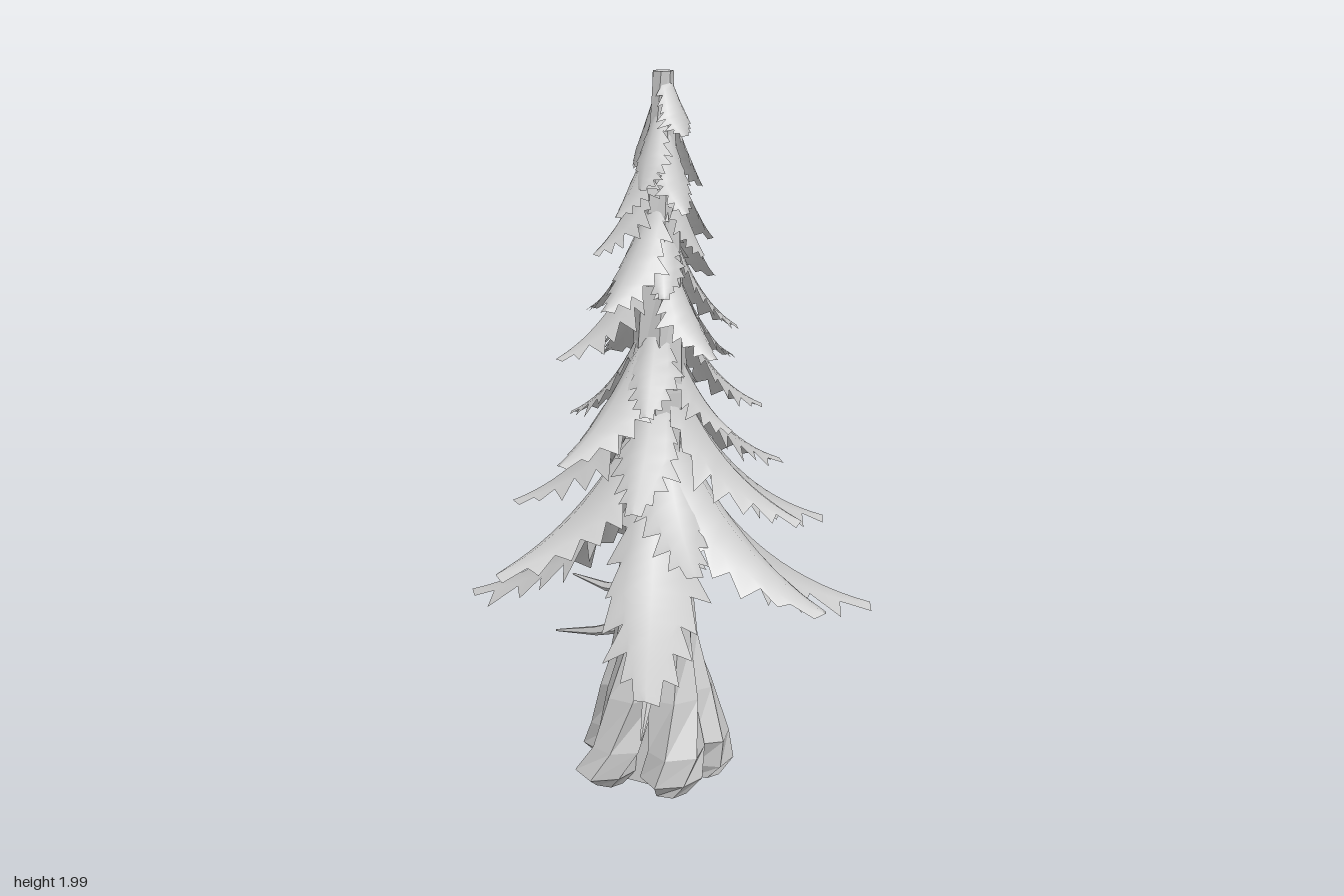
import * as THREE from 'three';

const grey = new THREE.MeshStandardMaterial({ color: 0xcccccc, side: THREE.DoubleSide });
grey.name = 'pale grey';

let seed = 7;
const rand = () => (seed = (seed * 16807) % 2147483647) / 2147483647;
const jitter = (a) => 1 + (rand() - 0.5) * 2 * a;

// Leaning axis of the trunk
const axis = (y) => new THREE.Vector3(0.018 + 0.027 * y, y, 0.038 + 0.006 * y);

function meshFrom(name, pos, index, flat) {
  let g = new THREE.BufferGeometry();
  g.setAttribute('position', new THREE.Float32BufferAttribute(pos, 3));
  g.setIndex(index);
  if (flat) g = g.toNonIndexed();
  g.computeVertexNormals();
  const m = new THREE.Mesh(g, grey);
  m.name = name;
  return m;
}

// Faceted, capped loft through rings [centre, radius], each ring square to dir
function loft(name, rings, sides, rough, dir = new THREE.Vector3(0, 1, 0), twist = 0) {
  const pos = [], index = [];
  const q = new THREE.Quaternion().setFromUnitVectors(new THREE.Vector3(0, 1, 0), dir);
  rings.forEach(([c, r], i) => {
    for (let k = 0; k < sides; k++) {
      const a = (k / sides) * Math.PI * 2 + i * twist, rr = r * jitter(rough);
      const v = new THREE.Vector3(Math.sin(a) * rr, 0, Math.cos(a) * rr).applyQuaternion(q).add(c);
      pos.push(v.x, v.y, v.z);
    }
  });
  for (let i = 0; i < rings.length - 1; i++) {
    for (let k = 0; k < sides; k++) {
      const a = i * sides + k, b = i * sides + ((k + 1) % sides);
      index.push(a, b, b + sides, a, b + sides, a + sides);
    }
  }
  const first = pos.length / 3, last = rings.length - 1;
  for (const i of [0, last]) pos.push(...rings[i][0].toArray());
  for (let k = 0; k < sides; k++) {
    const n = (k + 1) % sides;
    index.push(first, n, k, first + 1, last * sides + k, last * sides + n);
  }
  return meshFrom(name, pos, index, true);
}

// Drooping branch of needles: arched strip along a curve, with saw-toothed edges
function frond(x, y, z) {
  const ax = axis(y), dx = x - ax.x, dz = z - ax.z, R = Math.hypot(dx, dz);
  const out = new THREE.Vector3(dx / R, 0, dz / R);
  const side = new THREE.Vector3(out.z, 0, -out.x);
  const rise = Math.min(0.12 + 0.68 * R, 1.97 - y), width = 0.035 + 0.19 * R;
  const at = (r, h) => axis(h).setY(h).addScaledVector(out, r);
  const curve = new THREE.QuadraticBezierCurve3(
    at(0.025 + 0.05 * R, y + rise), at(0.055 + 0.27 * R, y + 0.26 * rise), new THREE.Vector3(x, y, z));
  const rows = 16, cols = [-1, -0.55, 0, 0.55, 1], pos = [], index = [];
  for (let i = 0; i <= rows; i++) {
    const t = i / rows;
    const w = width * (t < 0.5 ? 0.55 + 0.9 * t : Math.pow((1 - t) * 2, 0.7));
    const droop = 0.75 - 0.35 * t;
    const tooth = i % 2 === 1;
    for (const s of cols) {
      const edge = Math.abs(s) === 1;
      // Teeth sweep forwards, notches cut back in
      const tt = Math.min(1, edge && tooth ? t + 0.05 * jitter(0.5) : t);
      const p = curve.getPoint(tt), tan = curve.getTangent(tt);
      const up = new THREE.Vector3().crossVectors(tan, side).normalize();
      if (up.dot(out) < 0) up.negate();
      const k = edge ? (tooth ? 1.08 * jitter(0.15) : 0.7 * jitter(0.12)) : Math.abs(s);
      p.addScaledVector(side, Math.sign(s) * k * w);
      if (s) p.addScaledVector(up, -droop * w * Math.pow(k, 1.5));
      pos.push(p.x, p.y, p.z);
    }
  }
  for (let i = 0; i < rows; i++) {
    for (let j = 0; j < 4; j++) {
      const a = i * 5 + j, b = a + 5;
      index.push(a, b, a + 1, a + 1, b, b + 1);
    }
  }
  return meshFrom('needleBranch', pos, index, false);
}

// Tips of the needle branches, from the lowest tier up
const TIPS = [
  [0.33, 0.48, -0.51], [0.54, 0.6, -0.12], [0.45, 0.47, 0.43], [-0.09, 0.68, 0.5],
  [-0.52, 0.47, 0.28], [-0.55, 0.56, -0.05], [0.19, 0.72, -0.45], [0.36, 0.72, 0.18],
  [-0.44, 0.79, -0.17], [0.39, 0.81, -0.17], [-0.24, 0.82, 0.33], [0.08, 0.88, -0.38],
  [0.22, 0.88, 0.28], [-0.24, 1.04, 0.12], [0.04, 0.99, 0.38], [-0.22, 1.0, -0.2],
  [0.21, 1.04, -0.08], [0.1, 1.06, -0.29], [-0.29, 1.18, -0.06], [-0.06, 1.25, 0.31],
  [0.18, 1.12, 0.2], [0.04, 1.2, -0.23], [0.25, 1.26, 0.02], [-0.23, 1.33, 0.06],
  [0.1, 1.4, 0.27], [0.1, 1.3, -0.19], [-0.09, 1.38, -0.1], [0.16, 1.42, 0.12],
  [0.03, 1.43, -0.17], [0.0, 1.53, 0.23], [-0.13, 1.55, 0.05], [0.16, 1.52, -0.02],
  [0.06, 1.54, -0.14], [-0.09, 1.63, 0.02], [0.18, 1.64, 0.06], [0.05, 1.63, 0.19],
  [0.08, 1.69, -0.08], [-0.03, 1.74, 0.06], [0.09, 1.7, 0.14], [0.165, 1.84, 0.05],
];

// Bare twigs: start height, tip
const TWIGS = [
  [0.43, 0.35, 0.31, 0.36], [0.47, -0.3, 0.37, 0.14], [0.47, -0.22, 0.39, -0.29],
  [0.47, -0.3, 0.39, -0.08], [0.55, -0.32, 0.52, 0.06],
];

export function createModel() {
  const tree = new THREE.Group();
  tree.name = 'tree';

  // Trunk core up to the blunt top
  const core = [[0.02, 0.12], [0.25, 0.11], [0.5, 0.1], [0.8, 0.092], [1.15, 0.08],
    [1.5, 0.062], [1.75, 0.044], [1.9, 0.031], [2, 0.029]];
  tree.add(loft('trunk', core.map(([y, r]) => [axis(y), r]), 7, 0.06, undefined, 0.2));

  // Five swollen roots winding up the trunk: height, distance from axis, radius
  const root = [[0.008, 0.14, 0.045], [0.05, 0.15, 0.08], [0.13, 0.132, 0.08],
    [0.28, 0.092, 0.07], [0.43, 0.066, 0.064], [0.58, 0.056, 0.054], [0.76, 0.045, 0.035]];
  for (let k = 0; k < 5; k++) {
    const a0 = ((-9 + 72 * k) * Math.PI) / 180;
    const rings = root.map(([y, d, r]) => {
      const a = a0 + y * 0.9 + (jitter(0.1) - 1), dd = d * jitter(0.05);
      return [axis(y).add(new THREE.Vector3(Math.sin(a) * dd, 0, Math.cos(a) * dd)), r];
    });
    tree.add(loft('root', rings, 6, 0.16, undefined, 0.3));
  }

  // Bare twigs under the canopy
  for (const [h, x, y, z] of TWIGS) {
    const a = axis(h), b = new THREE.Vector3(x, y, z);
    const dir = b.clone().sub(a).normalize();
    const mid = a.clone().lerp(b, 0.6);
    mid.y -= 0.012;
    tree.add(loft('twig', [[a, 0.024], [mid, 0.014], [b, 0.003]], 5, 0.1, dir));
  }

  // Needle branches
  for (const tip of TIPS) tree.add(frond(...tip));
  return tree;
}
